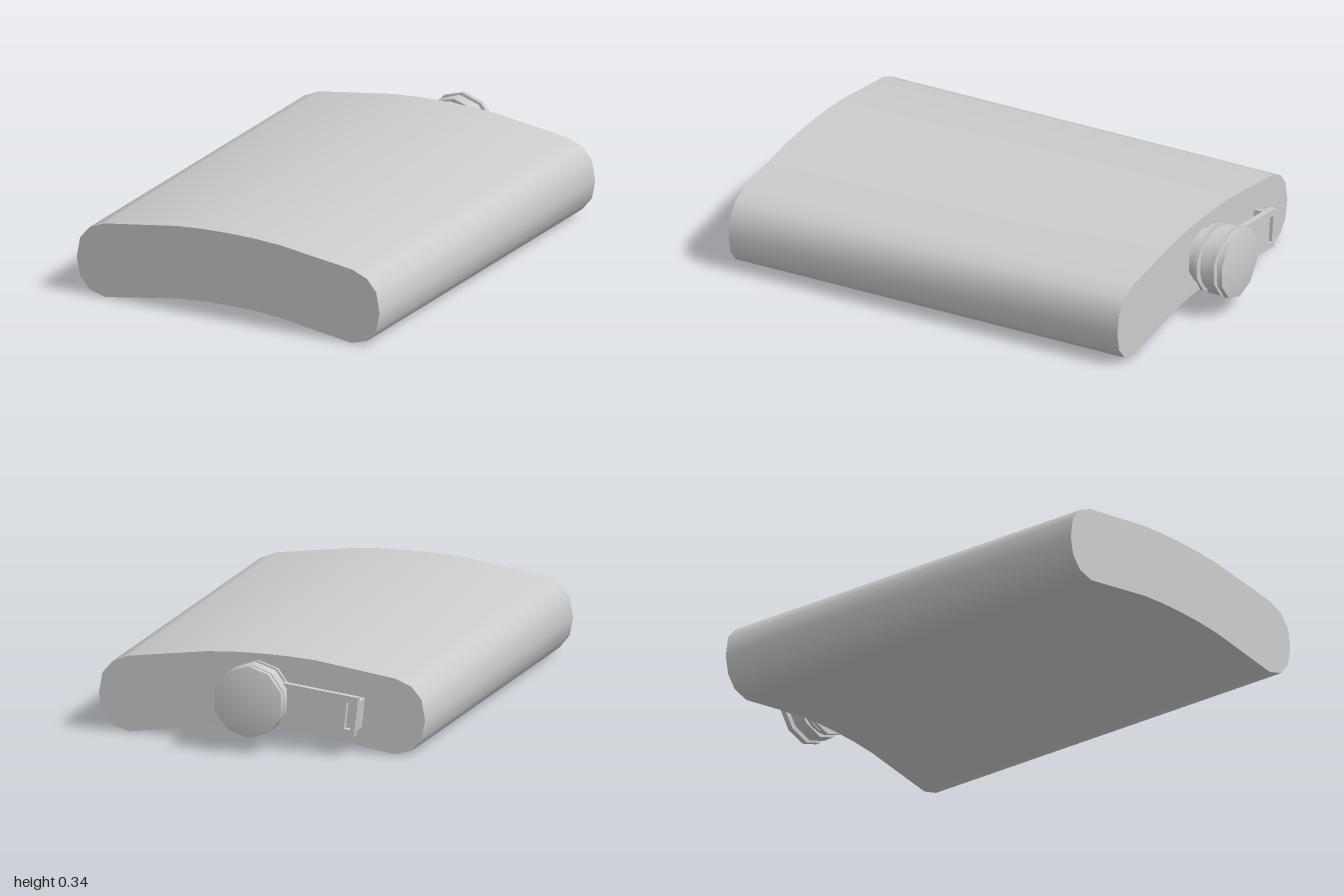
import * as THREE from 'three';
import { toCreasedNormals } from 'three/addons/utils/BufferGeometryUtils.js';

const LENGTH = 1.671;
const END = -LENGTH / 2; // neck end of the body
const AXIS_Y = 0.195; // height of the neck axis

export function createModel() {
  const material = new THREE.MeshStandardMaterial({ color: 0xcccccc });
  const flask = new THREE.Group();
  flask.name = 'flask';
  const add = (parent, name, geometry, crease = 0.7) => {
    const mesh = new THREE.Mesh(toCreasedNormals(geometry, crease), material);
    mesh.name = name;
    parent.add(mesh);
    return mesh;
  };

  // Body: curved kidney section, left half mirrored, swept along z
  const half = [
    [0, 0.058], [-0.108, 0.056], [-0.216, 0.048], [-0.525, 0], [-0.593, 0.019], [-0.633, 0.068],
    [-0.647, 0.139], [-0.633, 0.219], [-0.593, 0.266], [-0.53, 0.292], [-0.216, 0.336], [-0.108, 0.343], [0, 0.345],
  ];
  const mirrored = half.slice(1, -1).reverse().map(([x, y]) => [-x, y]);
  const section = new THREE.Shape([...half, ...mirrored].map(([x, y]) => new THREE.Vector2(x, y)));
  const body = add(flask, 'body', new THREE.ExtrudeGeometry(section, { depth: LENGTH, bevelEnabled: false }), 0.9);
  body.position.z = END;

  // Ten-sided turned parts around the neck axis: [radius, distance from the body end]
  const turned = (name, profile) => {
    const points = profile.map(([r, h]) => new THREE.Vector2(r, h));
    const mesh = add(flask, name, new THREE.LatheGeometry(points, 10));
    mesh.rotation.x = -Math.PI / 2;
    mesh.position.set(0, AXIS_Y, END);
  };
  turned('neck', [[0.105, -0.005], [0.105, 0.036], [0.134, 0.038], [0.134, 0.05], [0.108, 0.052], [0.108, 0.08]]);
  turned('cap', [
    [0.1, 0.074], [0.136, 0.074], [0.136, 0.124], [0.118, 0.126], [0.118, 0.138],
    [0.139, 0.14], [0.139, 0.16], [0, 0.19],
  ]);

  // Hinge arm: ring plate around the neck, strap with a slot, and a tab down to the body
  const arm = new THREE.Group();
  arm.name = 'hingeArm';
  arm.position.set(0, AXIS_Y, -0.92);
  arm.rotation.z = 0.11;
  flask.add(arm);

  const plate = new THREE.Shape();
  plate.moveTo(-0.405, -0.077);
  plate.lineTo(-0.095, -0.077);
  plate.absarc(0, 0, 0.122, -2.46, 2.46, false);
  plate.lineTo(-0.405, 0.077);
  plate.closePath();
  const rect = (x0, x1, h) => new THREE.Path(
    [[x0, -h], [x0, h], [x1, h], [x1, -h]].map(([x, y]) => new THREE.Vector2(x, y)));
  plate.holes.push(rect(-0.387, -0.362, 0.052));
  add(arm, 'strap', new THREE.ExtrudeGeometry(plate, { depth: 0.024, bevelEnabled: false, curveSegments: 8 }));

  const tab = add(arm, 'hingeTab', new THREE.BoxGeometry(0.017, 0.115, 0.09));
  tab.position.set(-0.3965, 0, 0.045);

  // The whole flask lies turned on the ground
  flask.rotation.y = -0.323;
  const model = new THREE.Group();
  model.name = 'hipFlask';
  model.add(flask);
  return model;
}
